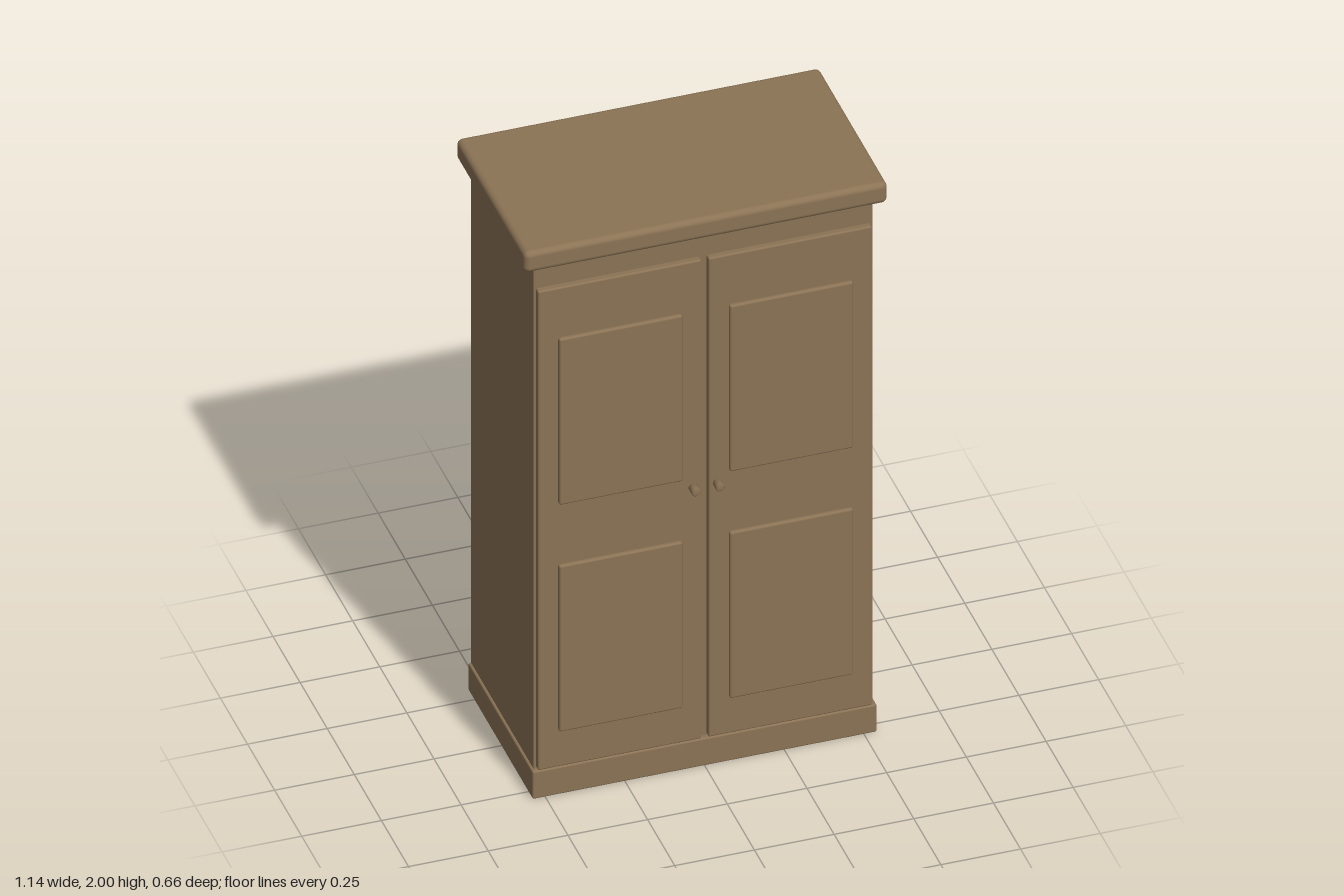
import * as THREE from 'three';
import { RoundedBoxGeometry } from 'three/addons/geometries/RoundedBoxGeometry.js';

export function createModel() {
  const group = new THREE.Group();
  group.name = 'wardrobe';
  const wood = new THREE.MeshStandardMaterial({ color: 0x8b7355 });
  wood.name = 'brown wood';

  // Box given by its min and max corners, with optional rounded edges
  function box(name, [x0, y0, z0], [x1, y1, z1], radius = 0, parent = group) {
    const size = [x1 - x0, y1 - y0, z1 - z0];
    const geometry = radius
      ? new RoundedBoxGeometry(...size, 3, radius)
      : new THREE.BoxGeometry(...size);
    const mesh = new THREE.Mesh(geometry, wood);
    mesh.name = name;
    mesh.position.set((x0 + x1) / 2, (y0 + y1) / 2, (z0 + z1) / 2);
    parent.add(mesh);
    return mesh;
  }

  // Carcass, plinth and overhanging cornice
  box('carcass', [-0.532, 0.09, -0.302], [0.532, 1.94, 0.276]);
  box('plinth', [-0.54, 0, -0.303], [0.54, 0.1, 0.293], 0.006);
  box('cornice', [-0.57, 1.926, -0.328], [0.57, 2, 0.308], 0.018);

  // Knob: short turned cylinder with a softened front edge
  const knobProfile = [[0, 0], [0.014, 0], [0.014, 0.032], [0.011, 0.035], [0, 0.035]]
    .map(([r, h]) => new THREE.Vector2(r, h));
  const knobGeometry = new THREE.LatheGeometry(knobProfile, 24);
  knobGeometry.rotateX(Math.PI / 2);

  // Mirrored doors with two raised panels and a knob each
  for (const side of [-1, 1]) {
    const door = new THREE.Group();
    door.name = side > 0 ? 'leftDoor' : 'rightDoor';
    const span = (a, b) => (side > 0 ? [a, b] : [-b, -a]);

    const [d0, d1] = span(0.011, 0.524);
    box('doorLeaf', [d0, 0.103, 0.27], [d1, 1.845, 0.296], 0.006, door);

    const [p0, p1] = span(0.074, 0.461);
    for (const [name, y0, y1] of [['lowerPanel', 0.236, 0.84], ['upperPanel', 1.061, 1.665]]) {
      box(name, [p0, y0, 0.284], [p1, y1, 0.308], 0.007, door);
    }

    const knob = new THREE.Mesh(knobGeometry, wood);
    knob.name = 'knob';
    knob.position.set(side * 0.038, 1.025, 0.293);
    door.add(knob);
    group.add(door);
  }
  return group;
}
